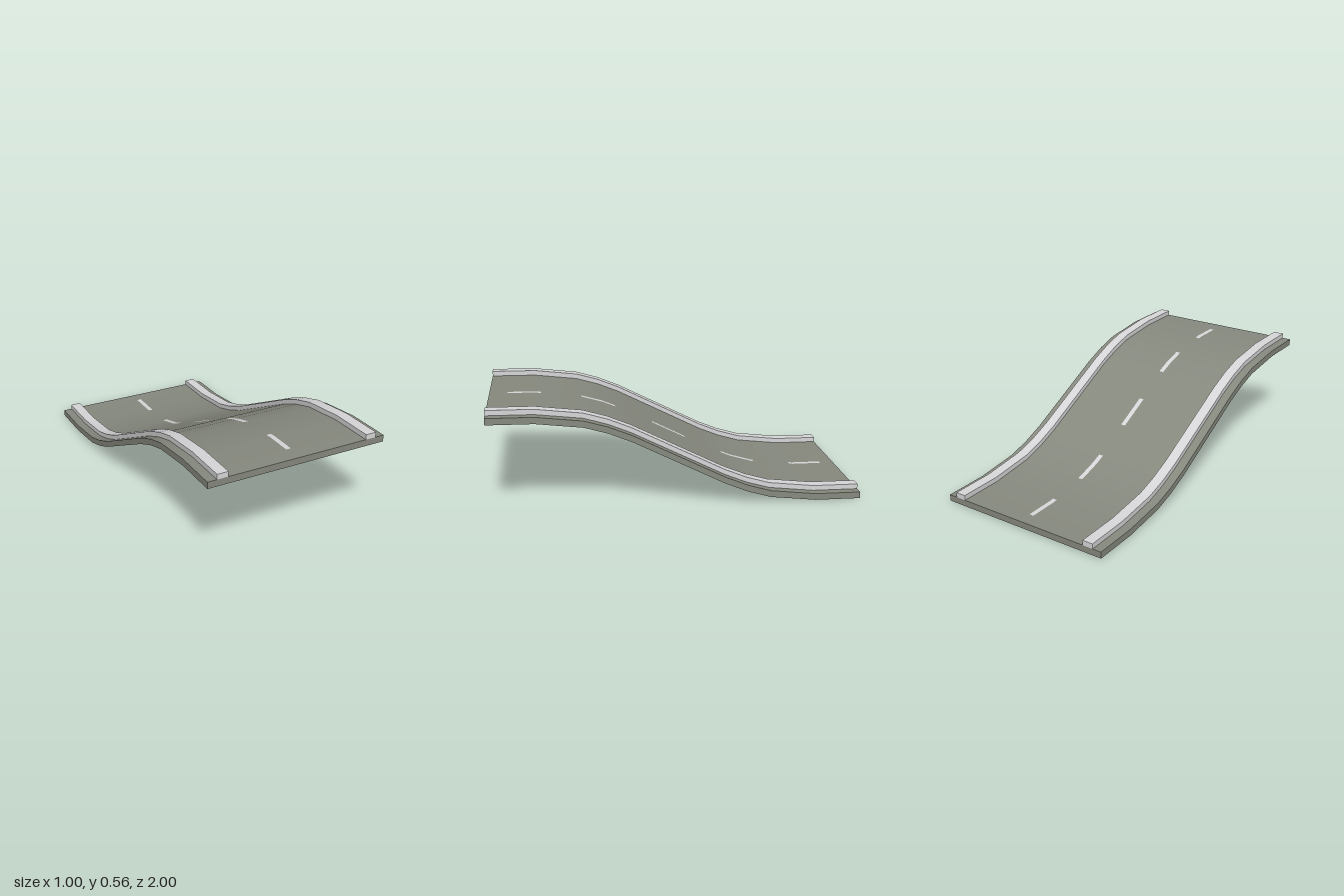
import * as THREE from 'three';

// Underside height of the road along z, from the high front end to the low back end
const STATIONS = [
  [1, 0.5], [0.75, 0.497], [0.5, 0.467], [0.375, 0.43], [0.25, 0.378], [0, 0.25],
  [-0.25, 0.122], [-0.375, 0.07], [-0.5, 0.033], [-0.75, 0.003], [-1, 0],
];
const DECK = 0.036, CURB = 0.064; // heights above the underside
const EDGE = 0.5, CURB_OUT = 0.45, CURB_IN = 0.39, DASH = 0.013; // half widths
const DASHES = [[0.9, 0.715], [0.49, 0.3], [0.09, -0.1], [-0.315, -0.51], [-0.73, -0.92]];

function heightAt(z) {
  for (let i = 1; i < STATIONS.length; i++) {
    const [z0, y0] = STATIONS[i - 1], [z1, y1] = STATIONS[i];
    if (z >= z1) return y0 + (y1 - y0) * Math.min(1, (z0 - z) / (z0 - z1));
  }
  return 0;
}

function slopeAt(z) {
  const a = Math.min(1, z + 0.12), b = Math.max(-1, z - 0.12);
  return (heightAt(a) - heightAt(b)) / (a - b);
}

// Sweeps one edge of the cross-section (listed towards +x over the top) along the road
function sweep(name, material, [xa, ya], [xb, yb], zFront = 1, zBack = -1) {
  const zs = [zFront, ...STATIONS.map(s => s[0]).filter(z => z < zFront && z > zBack), zBack];
  const positions = [], normals = [], index = [];
  zs.forEach((z, i) => {
    const y = heightAt(z);
    const n = new THREE.Vector3(ya - yb, xb - xa, -slopeAt(z) * (xb - xa)).normalize();
    positions.push(xa, y + ya, z, xb, y + yb, z);
    normals.push(n.x, n.y, n.z, n.x, n.y, n.z);
    if (i > 0) {
      const k = 2 * i - 2;
      index.push(k, k + 1, k + 2, k + 1, k + 3, k + 2);
    }
  });
  const geometry = new THREE.BufferGeometry();
  geometry.setAttribute('position', new THREE.Float32BufferAttribute(positions, 3));
  geometry.setAttribute('normal', new THREE.Float32BufferAttribute(normals, 3));
  geometry.setIndex(index);
  const mesh = new THREE.Mesh(geometry, material);
  mesh.name = name;
  return mesh;
}

// Flat upright panel closing one end of the road
function endPanel(name, material, x0, x1, y0, y1, end) {
  const mesh = new THREE.Mesh(new THREE.PlaneGeometry(x1 - x0, y1 - y0), material);
  mesh.position.set((x0 + x1) / 2, heightAt(end) + (y0 + y1) / 2, end);
  if (end < 0) mesh.rotation.y = Math.PI;
  mesh.name = name;
  return mesh;
}

export function createModel() {
  const asphalt = new THREE.MeshStandardMaterial({ color: 0x878a7f, side: THREE.DoubleSide });
  asphalt.name = 'asphalt grey';
  const paint = new THREE.MeshStandardMaterial({ color: 0xd8d8da, side: THREE.DoubleSide });
  paint.name = 'pale concrete';

  const model = new THREE.Group();
  model.name = 'slopedRoad';

  // Sides, shoulders, curbs and lanes: a thin shell open underneath
  for (const s of [-1, 1]) {
    const side = s > 0 ? 'left' : 'right';
    const add = (name, material, a, b) => {
      const p = [s * a[0], a[1]], q = [s * b[0], b[1]];
      model.add(s < 0 ? sweep(name, material, p, q) : sweep(name, material, q, p));
    };
    add(side + 'Side', asphalt, [EDGE, 0], [EDGE, DECK]);
    add(side + 'Shoulder', asphalt, [EDGE, DECK], [CURB_OUT, DECK]);
    add(side + 'CurbOuterFace', paint, [CURB_OUT, DECK], [CURB_OUT, CURB]);
    add(side + 'CurbTop', paint, [CURB_OUT, CURB], [CURB_IN, CURB]);
    add(side + 'CurbInnerFace', paint, [CURB_IN, CURB], [CURB_IN, DECK]);
    add(side + 'Lane', asphalt, [CURB_IN, DECK], [DASH, DECK]);
  }

  // Centre line: dashes with asphalt between them
  let z = 1;
  for (const [front, back] of DASHES) {
    model.add(sweep('centreGap', asphalt, [-DASH, DECK], [DASH, DECK], z, front));
    model.add(sweep('centreDash', paint, [-DASH, DECK], [DASH, DECK], front, back));
    z = back;
  }
  model.add(sweep('centreGap', asphalt, [-DASH, DECK], [DASH, DECK], z, -1));

  // Ends of the road and curbs
  for (const end of [1, -1]) {
    model.add(endPanel('roadEnd', asphalt, -EDGE, EDGE, 0, DECK, end));
    model.add(endPanel('curbEnd', paint, CURB_IN, CURB_OUT, DECK, CURB, end));
    model.add(endPanel('curbEnd', paint, -CURB_OUT, -CURB_IN, DECK, CURB, end));
  }
  return model;
}
